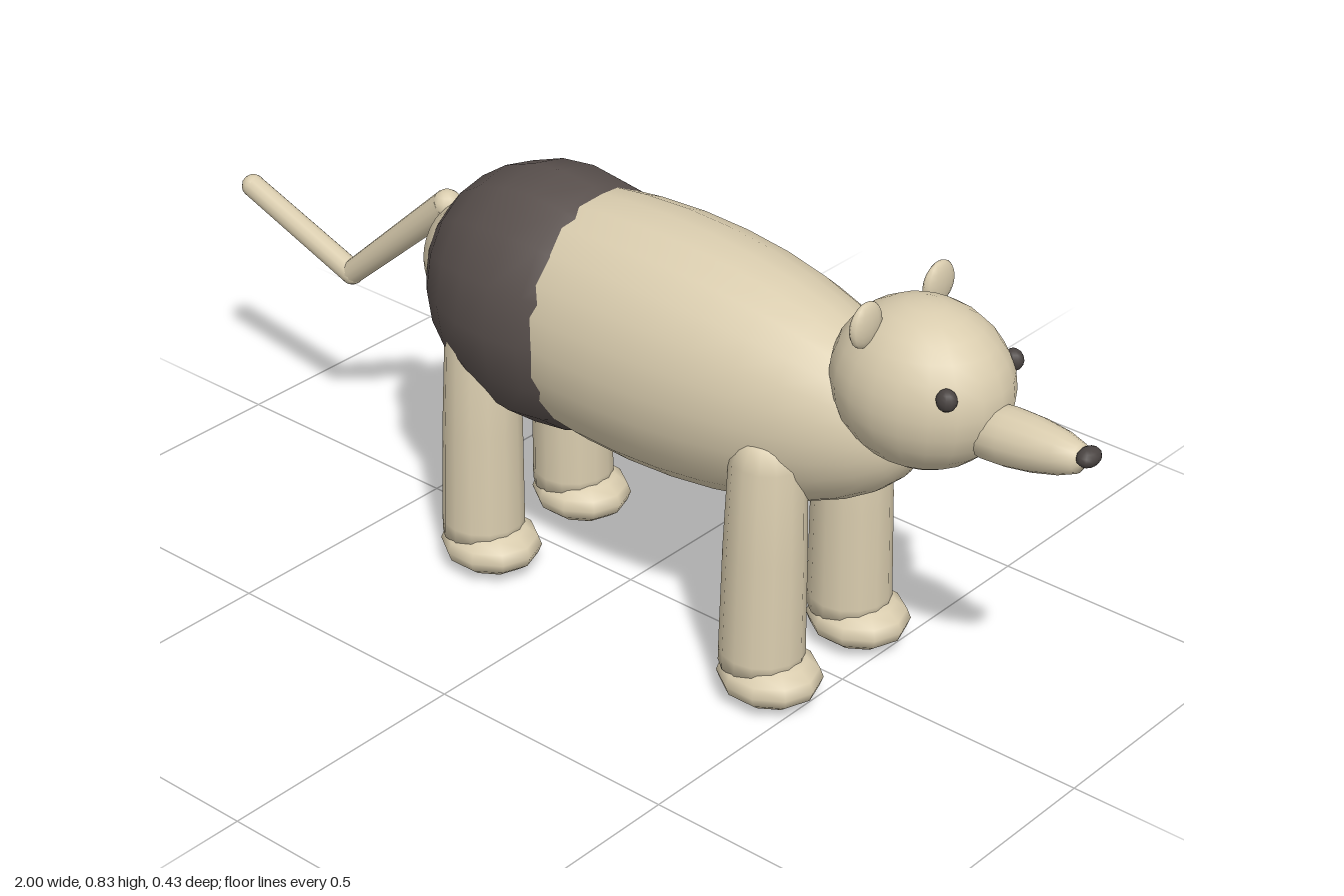
import * as THREE from 'three';

const cream = new THREE.MeshStandardMaterial({ color: 0xd9ccae });
cream.name = 'cream fur';
const dark = new THREE.MeshStandardMaterial({ color: 0x59504d });
dark.name = 'dark fur';
const black = new THREE.MeshStandardMaterial({ color: 0x4a4442 });
black.name = 'eye and nose';

function add(parent, name, geometry, material, x = 0, y = 0, z = 0) {
  const mesh = new THREE.Mesh(geometry, material);
  mesh.name = name;
  mesh.position.set(x, y, z);
  parent.add(mesh);
  return mesh;
}

// Ellipsoid; its poles lie along x when alongX is set
function ellipsoid(rx, ry, rz, w = 16, h = 12, alongX = false) {
  const g = new THREE.SphereGeometry(1, w, h);
  if (alongX) g.rotateZ(-Math.PI / 2);
  return g.scale(rx, ry, rz);
}

function lathe(points, segments) {
  return new THREE.LatheGeometry(points.map(([r, y]) => new THREE.Vector2(r, y)), segments);
}

// Tapered rod between two points
function rod(parent, name, a, b, ra, rb) {
  const d = b.clone().sub(a);
  const mid = a.clone().add(b).multiplyScalar(0.5);
  const mesh = add(parent, name, new THREE.CylinderGeometry(rb, ra, d.length(), 12), cream, mid.x, mid.y, mid.z);
  mesh.quaternion.setFromUnitVectors(new THREE.Vector3(0, 1, 0), d.normalize());
}

export function createModel() {
  const model = new THREE.Group();
  model.name = 'animal';

  // Body with the dark band round the hips
  add(model, 'body', ellipsoid(0.565, 0.24, 0.207, 24, 18, true), cream, 0.085, 0.55);
  add(model, 'hipBand', ellipsoid(0.28, 0.248, 0.216, 16, 12, true), dark, -0.16, 0.548);

  // Head, snout and nose
  const head = new THREE.Group();
  head.name = 'head';
  model.add(head);
  add(head, 'skull', ellipsoid(0.166, 0.149, 0.141, 20, 14), cream, 0.645, 0.666);
  const snout = add(head, 'snout', lathe([
    [0, -0.03], [0.04, -0.02], [0.05, 0.02], [0.051, 0.06], [0.047, 0.11], [0.038, 0.16], [0.026, 0.195], [0, 0.212],
  ], 16), cream, 0.77, 0.623);
  snout.rotation.z = -Math.PI / 2 + 0.085;
  add(head, 'nose', ellipsoid(0.019, 0.017, 0.026, 12, 8), black, 0.981, 0.649);

  for (const side of [1, -1]) {
    const label = side > 0 ? 'near' : 'far';
    add(head, label + 'Eye', ellipsoid(0.019, 0.02, 0.017, 12, 8), black, 0.761, 0.71, side * 0.092);
    add(head, label + 'Ear', ellipsoid(0.014, 0.041, 0.041, 12, 10), cream, 0.597, 0.794, side * 0.099);

    // Legs and paws
    for (const [name, x] of [['ForeLeg', 0.415], ['HindLeg', -0.255]]) {
      const leg = new THREE.Group();
      leg.name = label + name;
      leg.position.set(x, 0, side * 0.126);
      model.add(leg);
      const limb = add(leg, 'limb', lathe([
        [0, 0.05], [0.077, 0.07], [0.077, 0.1], [0.074, 0.3], [0.068, 0.48], [0.05, 0.52], [0, 0.545],
      ], 14), cream);
      limb.rotation.x = -side * 0.015;
      add(leg, 'paw', ellipsoid(0.098, 0.049, 0.09, 10, 8), cream, 0.02, 0.053);
    }
  }

  // Bent tail
  const tail = new THREE.Group();
  tail.name = 'tail';
  model.add(tail);
  const root = new THREE.Vector3(-0.45, 0.635, 0);
  const bend = new THREE.Vector3(-0.71, 0.405, 0);
  const tip = new THREE.Vector3(-0.977, 0.503, 0);
  rod(tail, 'tailBase', root, bend, 0.029, 0.023);
  rod(tail, 'tailEnd', bend, tip, 0.024, 0.023);
  [[root, 0.029], [bend, 0.024], [tip, 0.023]].forEach(([p, r]) =>
    add(tail, 'tailJoint', ellipsoid(r, r, r, 12, 8), cream, p.x, p.y, p.z));

  return model;
}
